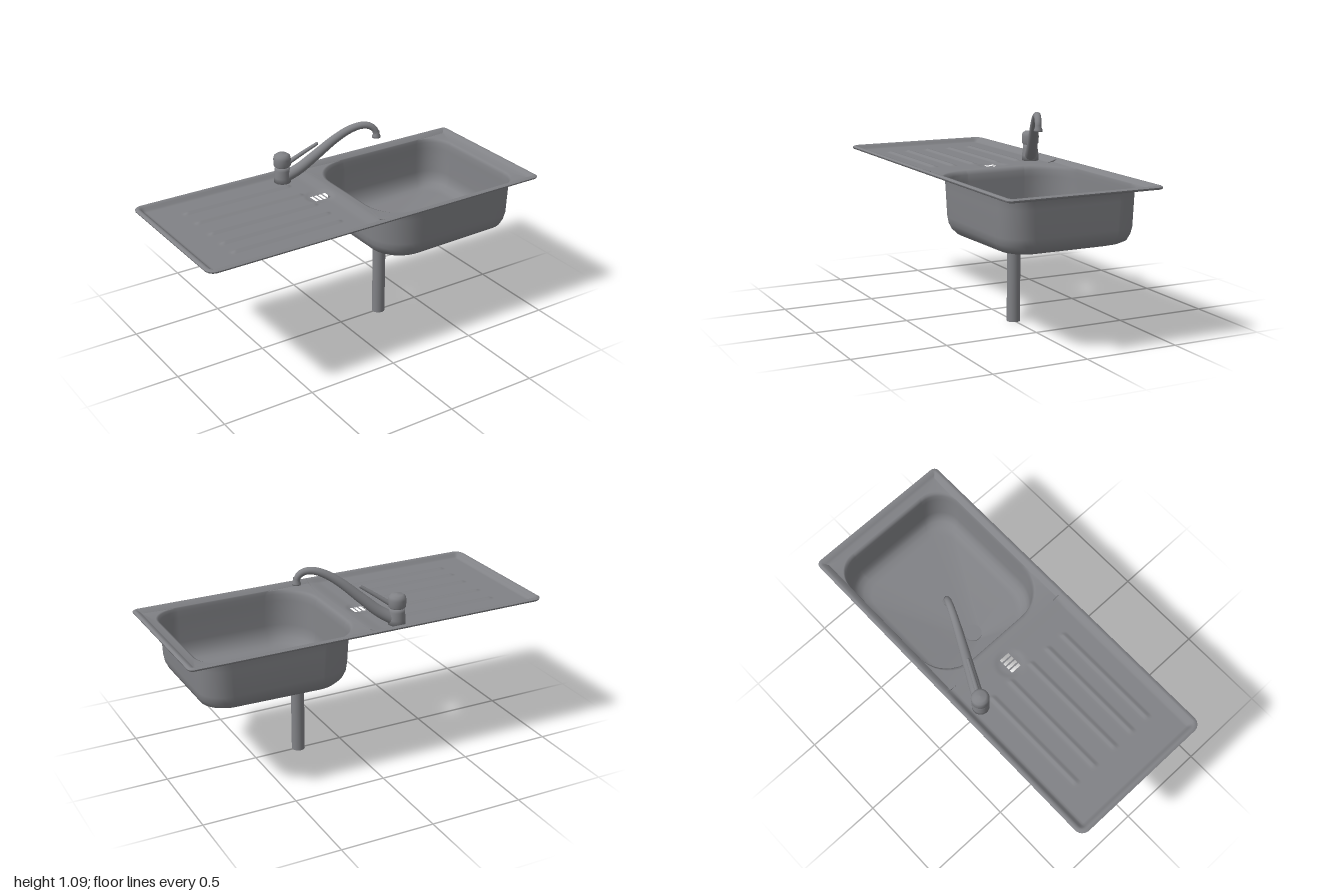
import * as THREE from 'three';

const W = 1, D = 0.42;             // half width and half depth of the worktop
const ss = THREE.MathUtils.smoothstep;

// Distance from the rounded worktop edge, positive inside
function edgeDistance(x, z) {
  const r = x < 0 ? 0.05 : 0.03;
  const qx = Math.abs(x) - W + r, qz = Math.abs(z) - D + r;
  return r - Math.hypot(Math.max(qx, 0), Math.max(qz, 0)) - Math.min(Math.max(qx, qz), 0);
}

// Height of the pressed sheet: raised border, sunken drainer, ridges, overflow dip
const RIDGES = [-0.245, -0.117, 0.025, 0.145, 0.255];
function deckHeight(x, z) {
  const d = edgeDistance(x, z);
  const floor = 0.771 + 0.007 * ss(x, -0.08, 0);
  let y = THREE.MathUtils.lerp(0.797, floor, ss(d, 0.018, 0.05));
  y -= 0.006 * (1 - ss(d, 0, 0.01));
  const along = ss(x, -0.8, -0.77) * (1 - ss(x, -0.18, -0.155));
  for (const rz of RIDGES) y += 0.009 * along * (1 - ss(Math.abs(z - rz), 0.002, 0.018));
  y -= 0.006 * (1 - ss(Math.hypot(x + 0.1, z + 0.053), 0.05, 0.085));
  return y;
}

// Rounded rectangle points, with own radii for the left and right ends
function roundedRing(x0, x1, hz, r0, r1, heightAt) {
  const pts = [], corners = [[x1, 1, 1, r1], [x0, -1, 1, r0], [x0, -1, -1, r0], [x1, 1, -1, r1]];
  const arcs = corners.map(([x, sx, sz, r], k) => {
    const arc = [];
    for (let i = 0; i <= 10; i++) {
      const a = (k + i / 10) * Math.PI / 2;
      arc.push(new THREE.Vector3(x - sx * r + r * Math.cos(a), 0, sz * (hz - r) + r * Math.sin(a)));
    }
    return arc;
  });
  arcs.forEach((arc, k) => {
    pts.push(...arc);
    const a = arc[10], b = arcs[(k + 1) % 4][0];
    for (let i = 1; i < 12; i++) pts.push(a.clone().lerp(b, ss(i / 12, 0, 1)));
  });
  pts.forEach(p => { p.y = heightAt(p.x, p.z); });
  return pts;
}

// Skin through closed rings that have equal point counts
function loft(rings) {
  const n = rings[0].length, pos = [], idx = [];
  for (const ring of rings) for (const p of ring) pos.push(p.x, p.y, p.z);
  for (let k = 0; k < rings.length - 1; k++) {
    for (let i = 0; i < n; i++) {
      const a = k * n + i, b = k * n + (i + 1) % n;
      idx.push(a, a + n, b, b, a + n, b + n);
    }
  }
  return indexed(pos, idx);
}

function indexed(pos, idx) {
  const g = new THREE.BufferGeometry();
  g.setAttribute('position', new THREE.Float32BufferAttribute(pos, 3));
  g.setIndex(idx);
  g.computeVertexNormals();
  return g;
}

// Left half of the worktop as a fine grid with the overflow slots left open
function drainerGeometry() {
  const nx = 120, nz = 84, r = 0.05, pos = [], idx = [];
  for (let j = 0; j <= nz; j++) {
    for (let i = 0; i <= nx; i++) {
      let x = -W + i / nx, z = -D + 2 * D * j / nz;
      const cx = -W + r, cz = Math.sign(z) * (D - r);
      const dx = x - cx, dz = z - cz, len = Math.hypot(dx, dz);
      if (dx < 0 && dz * z > 0 && len > r) {
        x = cx + dx * r / len;
        z = cz + dz * r / len;
      }
      pos.push(x, deckHeight(x, z), z);
    }
  }
  for (let j = 0; j < nz; j++) {
    for (let i = 0; i < nx; i++) {
      const slot = j >= 34 && j < 40 && i >= 103 && i < 114 && (i - 103) % 3 < 2;
      if (slot) continue;
      const a = j * (nx + 1) + i, b = a + nx + 1;
      idx.push(a, b, a + 1, a + 1, b, b + 1);
    }
  }
  return indexed(pos, idx);
}

// Tube whose radius changes evenly from one end to the other
function taperedTube(points, rStart, rEnd, segs = 48) {
  const curve = new THREE.CatmullRomCurve3(points);
  const g = new THREE.TubeGeometry(curve, segs, 1, 20), p = g.attributes.position;
  const v = new THREE.Vector3();
  for (let i = 0; i < p.count; i++) {
    const t = Math.floor(i / 21) / segs, c = curve.getPointAt(t);
    v.fromBufferAttribute(p, i).sub(c).multiplyScalar(THREE.MathUtils.lerp(rStart, rEnd, t)).add(c);
    p.setXYZ(i, v.x, v.y, v.z);
  }
  return g;
}

function lathe(profile) {
  return new THREE.LatheGeometry(profile.map(([x, y]) => new THREE.Vector2(x, y)), 40);
}

export function createModel() {
  const model = new THREE.Group();
  const steel = new THREE.MeshStandardMaterial({ color: 0x818286, side: THREE.DoubleSide });
  steel.name = 'brushed steel';
  const add = (name, geometry, parent = model) => {
    const mesh = new THREE.Mesh(geometry, steel);
    mesh.name = name;
    parent.add(mesh);
    return mesh;
  };

  add('drainer', drainerGeometry());

  // Right half of the worktop, running down into the bowl
  const border = [0, 0.01, 0.02, 0.034, 0.045].map(d =>
    roundedRing(0, W - d, D - d, 0.0005, Math.max(0.03 - d, 0.002), deckHeight));
  // y, left x, right x, half depth, left radius, right radius
  const bowl = [
    [0.777, 0.03, 0.92, 0.374, 0.2, 0.13],
    [0.772, 0.044, 0.908, 0.3725, 0.2, 0.13],
    [0.755, 0.054, 0.902, 0.37, 0.2, 0.13],
    [0.72, 0.058, 0.9, 0.369, 0.2, 0.13],
    [0.58, 0.064, 0.896, 0.364, 0.2, 0.13],
    [0.545, 0.068, 0.891, 0.357, 0.195, 0.13],
    [0.515, 0.08, 0.877, 0.342, 0.185, 0.12],
    [0.495, 0.105, 0.85, 0.318, 0.17, 0.11],
    [0.485, 0.135, 0.815, 0.288, 0.15, 0.1],
    [0.452, 0.2, 0.3, 0.05, 0.05, 0.05],
    [0.44, 0.215, 0.285, 0.035, 0.035, 0.035],
  ].map(([y, x0, x1, hz, r0, r1]) =>
    roundedRing(x0, x1, hz, r0, r1, x => y + (y < 0.5 && y > 0.46 ? 0.016 * (x - 0.5) : 0)));
  add('bowl', loft([...border, ...bowl]));

  // Folded lip under the outer edge
  add('rimLip', loft([[0.791, 0], [0.785, 0.001], [0.78, 0.007], [0.78, 0.022]].map(([y, d]) =>
    roundedRing(-W + d, W - d, D - d, 0.05 - d, 0.03 - d, () => y))));

  // Waste fitting and pipe
  const strainer = add('drainCover', new THREE.CylinderGeometry(0.047, 0.047, 0.008, 40));
  strainer.position.set(0.25, 0.453, 0);
  const pipe = add('wastePipe', new THREE.CylinderGeometry(0.035, 0.035, 0.45, 40));
  pipe.position.set(0.25, 0.225, 0);

  // Mixer tap, built along its own x axis and turned toward the bowl
  const tap = new THREE.Group();
  tap.name = 'tap';
  tap.position.set(-0.165, 0, -0.32);
  tap.rotation.y = -Math.atan2(0.207, 0.465);
  model.add(tap);
  const at = (s, y) => new THREE.Vector3(s, y, 0);

  add('tapBody', lathe([[0, 0.765], [0.045, 0.765], [0.045, 0.8], [0.041, 0.84], [0.039, 0.86], [0, 0.86]]), tap);
  add('tapHead', lathe([[0, 0.857], [0.036, 0.857], [0.046, 0.868], [0.047, 0.905], [0.043, 0.922],
    [0.03, 0.932], [0, 0.936]]), tap);
  add('spout', taperedTube([at(0, 0.79), at(0.09, 0.84), at(0.18, 0.912), at(0.29, 1.002), at(0.37, 1.05),
    at(0.43, 1.067), at(0.475, 1.06), at(0.502, 1.035), at(0.509, 1)], 0.033, 0.016), tap);
  const nozzle = add('nozzle', lathe([[0, 0.994], [0.022, 0.994], [0.023, 1.002], [0.018, 1.012], [0.016, 1.03]]), tap);
  nozzle.position.x = 0.509;
  add('lever', taperedTube([at(0.02, 0.87), at(0.1, 0.923), at(0.186, 0.977)], 0.013, 0.009, 12), tap);
  const tip = add('leverTip', new THREE.SphereGeometry(0.009, 16, 10), tap);
  tip.position.set(0.186, 0.977, 0);

  return model;
}
